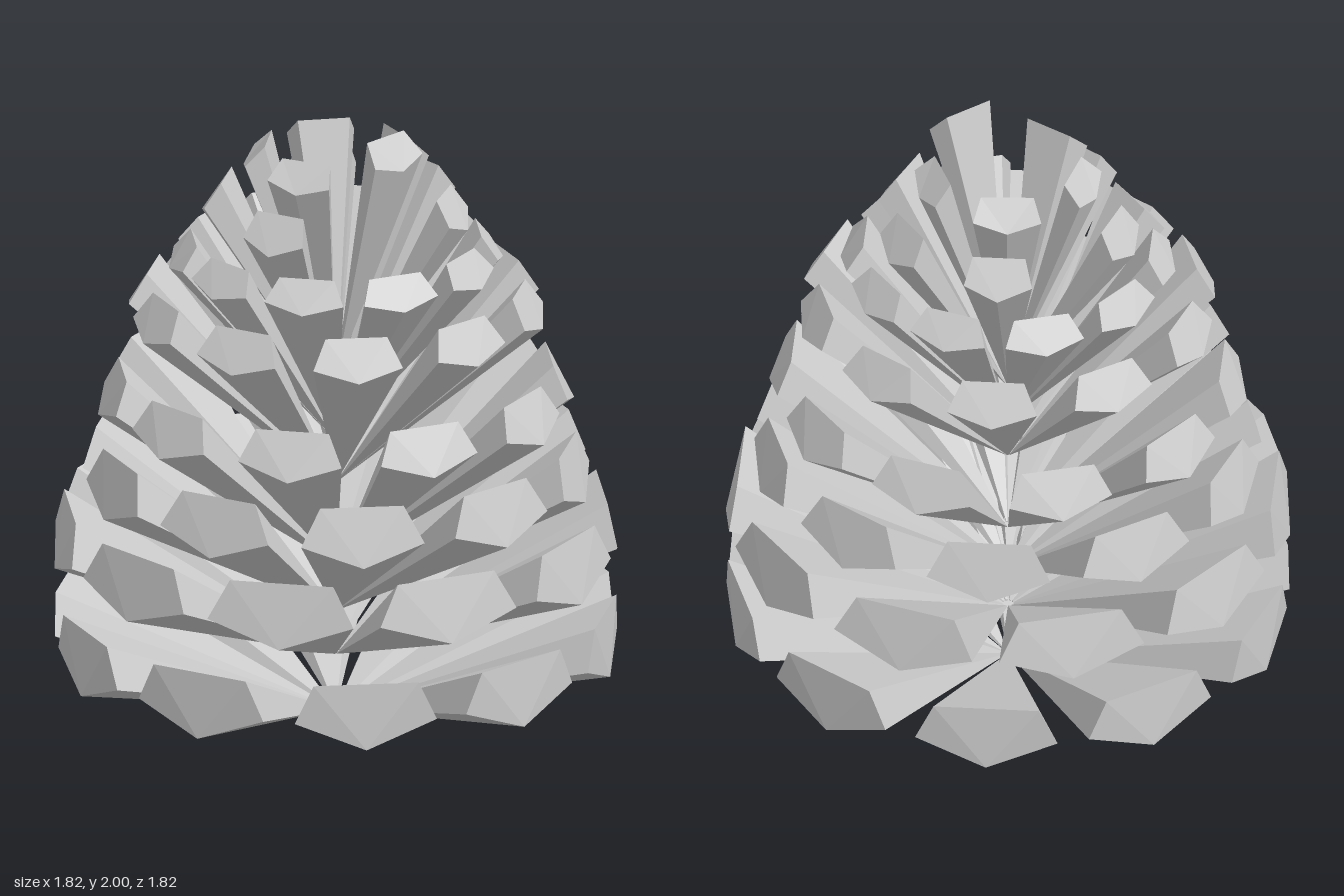
import * as THREE from 'three';

const material = new THREE.MeshStandardMaterial({ color: 0xcccccc, flatShading: true });
const evenly = (n, start) => Array.from({ length: n }, (_, i) => start + (i * 360) / n);

// Each tier: root height, [bottom, side, top] heights of the tip,
// [bottom, side, top] radii, half widths at the sides and top, bearings in degrees.
const tiers = [
  { root: 0.0, y: [0.17, 0.26, 0.39], r: [0.9, 0.875, 0.885], side: 0.23, top: 0.17, at: evenly(10, 0) },
  { root: 0.19, y: [0.51, 0.59, 0.72], r: [0.91, 0.88, 0.86], side: 0.24, top: 0.17, at: evenly(10, 18) },
  { root: 0.34, y: [0.76, 0.83, 0.95], r: [0.82, 0.79, 0.76], side: 0.2, top: 0.135, at: evenly(10, 0) },
  { root: 0.5, y: [1.03, 1.08, 1.18], r: [0.77, 0.73, 0.69], side: 0.17, top: 0.12, at: evenly(10, 18) },
  { root: 0.78, y: [1.34, 1.38, 1.47], r: [0.68, 0.65, 0.6], side: 0.145, top: 0.1, at: evenly(10, 0) },
  { root: 0.92, y: [1.52, 1.55, 1.62], r: [0.54, 0.51, 0.46], side: 0.13, top: 0.09, at: evenly(10, 18) },
  { root: 1.05, y: [1.67, 1.71, 1.79], r: [0.44, 0.41, 0.36], side: 0.11, top: 0.085, at: [40, 144, 216, 288, 344] },
  { root: 1.1, y: [1.84, 1.87, 1.93], r: [0.3, 0.28, 0.22], side: 0.11, top: 0.085, at: [140, 212, 284, 356] },
  { root: 1.15, y: [1.9, 1.93, 2.0], r: [0.3, 0.28, 0.22], side: 0.11, top: 0.085, at: [68] },
];

// A woody scale: a five-cornered tip tapering to a small root on the axis
function scaleGeometry({ root, y, r, side, top }) {
  const tip = [
    [0, y[0], r[0]],
    [side, y[1], r[1]],
    [top, y[2], r[2]],
    [-top, y[2], r[2]],
    [-side, y[1], r[1]],
  ];
  const taper = 0.02;
  const base = tip.map(([px, py, pz]) => [px * taper, root + (py - y[0]) * taper, pz * taper]);
  const index = [];
  for (let i = 0; i < 5; i++) {
    const j = (i + 1) % 5;
    index.push(i, 5 + i, 5 + j, i, 5 + j, j);
  }
  for (let i = 1; i < 4; i++) {
    index.push(0, i, i + 1, 5, 5 + i + 1, 5 + i);
  }
  const geometry = new THREE.BufferGeometry();
  geometry.setAttribute('position', new THREE.Float32BufferAttribute([...tip, ...base].flat(), 3));
  geometry.setIndex(index);
  const flat = geometry.toNonIndexed();
  flat.computeVertexNormals();
  return flat;
}

export function createModel() {
  const cone = new THREE.Group();
  cone.name = 'pineCone';
  tiers.forEach((tier, t) => {
    const ring = new THREE.Group();
    ring.name = `scaleTier${t + 1}`;
    const geometry = scaleGeometry(tier);
    for (const bearing of tier.at) {
      const scale = new THREE.Mesh(geometry, material);
      scale.name = 'scale';
      scale.rotation.y = THREE.MathUtils.degToRad(90 - bearing);
      ring.add(scale);
    }
    cone.add(ring);
  });
  return cone;
}
